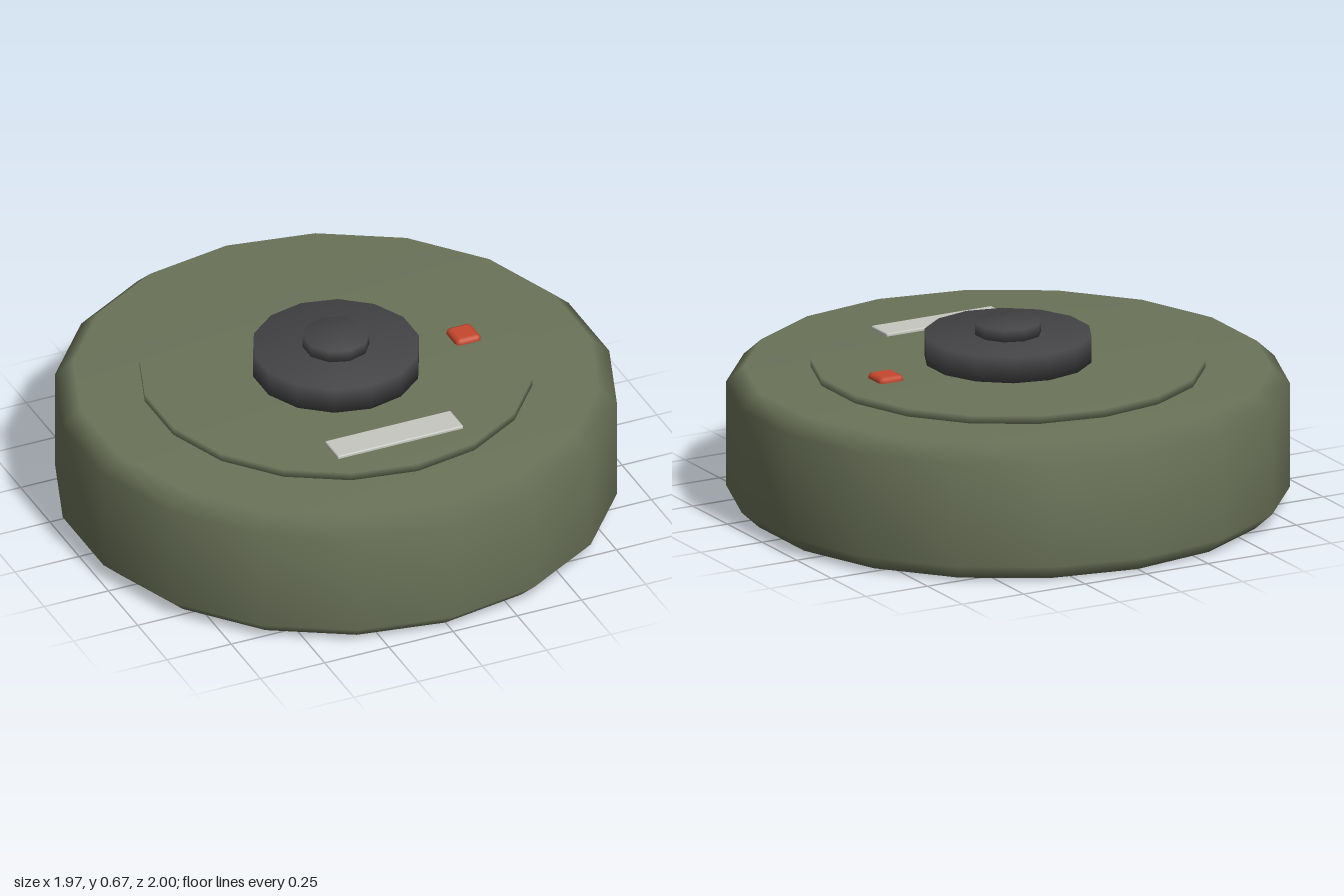
import * as THREE from 'three';
import { RoundedBoxGeometry } from 'three/addons/geometries/RoundedBoxGeometry.js';

const material = (name, color) => {
  const m = new THREE.MeshStandardMaterial({ color });
  m.name = name;
  return m;
};

export function createModel() {
  const model = new THREE.Group();
  model.name = 'pressurePlateDisc';

  const green = material('olive green', 0x6b7359);
  const dark = material('dark grey', 0x444446);
  const red = material('signal red', 0xc4472c);
  const pale = material('pale grey', 0xc6c7c0);

  const add = (name, geometry, mat) => {
    const mesh = new THREE.Mesh(geometry, mat);
    mesh.name = name;
    model.add(mesh);
    return mesh;
  };

  // Smooth-shaded turned part from [radius, height] pairs, bottom to top
  const turned = (name, profile, sides, mat) =>
    add(name, new THREE.LatheGeometry(profile.map(([r, y]) => new THREE.Vector2(r, y)), sides), mat);
  const disc = (name, radius, y0, y1, sides, mat) =>
    turned(name, [[0, y0], [radius, y0], [radius, y1], [0, y1]], sides, mat);

  // Chamfered main casing
  turned('casing', [[0, 0], [0.935, 0], [1, 0.06], [1, 0.44], [0.935, 0.5], [0, 0.5]], 18, green);

  // Stacked plate, hub and knob
  disc('topPlate', 0.7, 0.495, 0.53, 18, green);
  disc('hub', 0.3, 0.525, 0.626, 14, dark);
  disc('knob', 0.12, 0.62, 0.67, 10, dark);

  // Bevelled button on the left and label plate at the front
  add('button', new RoundedBoxGeometry(0.1, 0.05, 0.105, 1, 0.018), red).position.set(0.497, 0.525, 0);
  add('labelPlate', new RoundedBoxGeometry(0.49, 0.03, 0.115, 1, 0.006), pale).position.set(0, 0.526, 0.497);

  return model;
}
